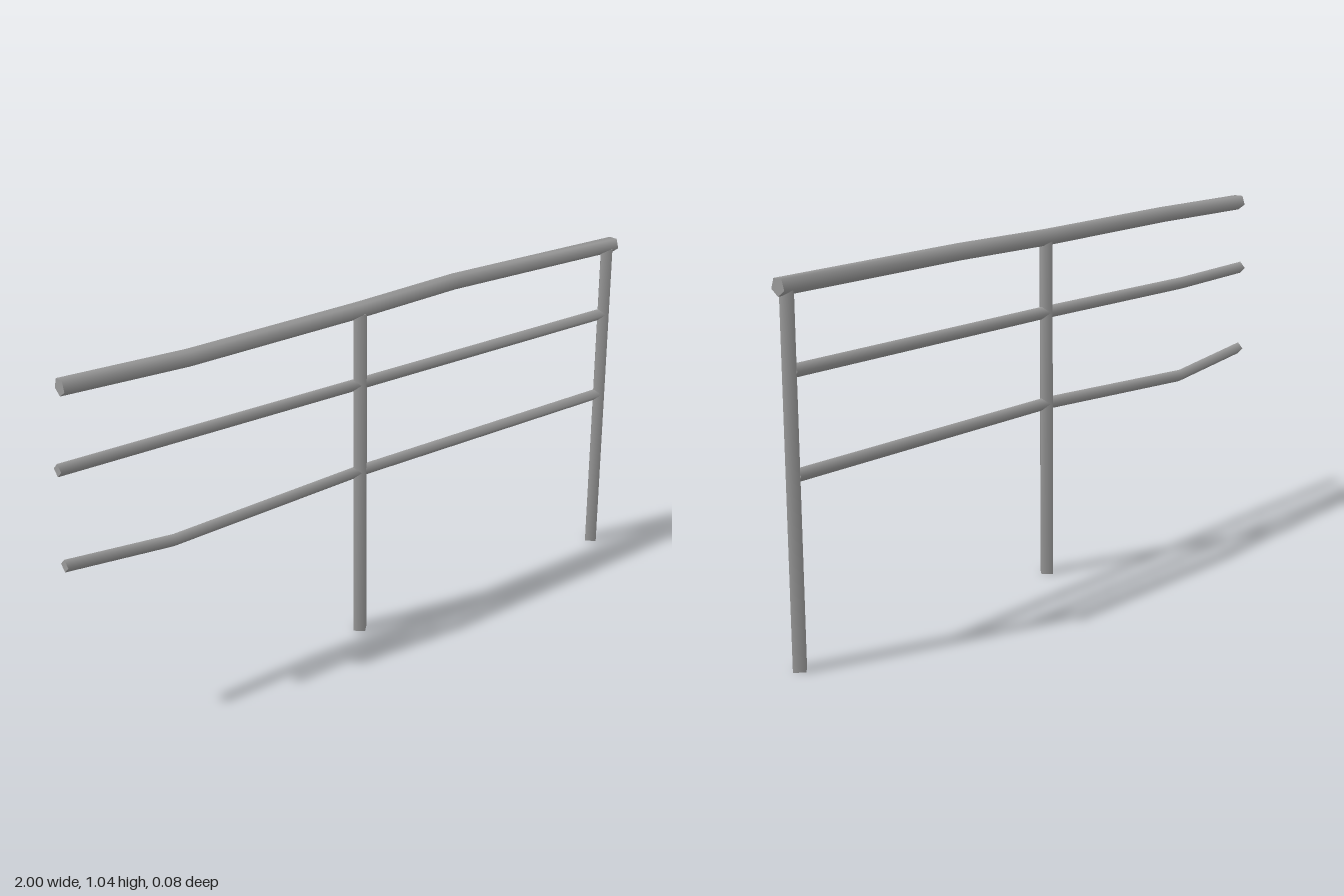
import * as THREE from 'three';

// Sweeps a faceted bar along a list of points; u x v gives the bar's direction
function bar(name, points, radius, sides, u, v, material) {
  const pos = [], index = [];
  const addRing = (p) => {
    const start = pos.length / 3;
    for (let i = 0; i < sides; i++) {
      const a = (i / sides) * Math.PI * 2;
      const q = new THREE.Vector3(...p)
        .addScaledVector(u, radius * Math.cos(a))
        .addScaledVector(v, radius * Math.sin(a));
      pos.push(q.x, q.y, q.z);
    }
    return start;
  };
  // side walls
  const rings = points.map(addRing);
  for (let r = 0; r + 1 < rings.length; r++) {
    for (let i = 0; i < sides; i++) {
      const j = (i + 1) % sides, a = rings[r], b = rings[r + 1];
      index.push(a + i, a + j, b + j, a + i, b + j, b + i);
    }
  }
  // end caps with their own vertices, so the rims stay sharp
  const first = addRing(points[0]), last = addRing(points[points.length - 1]);
  for (let i = 1; i + 1 < sides; i++) {
    index.push(first, first + i + 1, first + i);
    index.push(last, last + i, last + i + 1);
  }
  const geometry = new THREE.BufferGeometry();
  geometry.setAttribute('position', new THREE.Float32BufferAttribute(pos, 3));
  geometry.setIndex(index);
  geometry.computeVertexNormals();
  const mesh = new THREE.Mesh(geometry, material);
  mesh.name = name;
  return mesh;
}

export function createModel() {
  const group = new THREE.Group();
  group.name = 'railing';
  const metal = new THREE.MeshStandardMaterial({ color: 0x999999 });
  const X = new THREE.Vector3(1, 0, 0);
  const down = new THREE.Vector3(0, -1, 0);
  const back = new THREE.Vector3(0, 0, -1);
  const post = (name, pts) => group.add(bar(name, pts, 0.0245, 4, X, back, metal));
  const rail = (name, pts, r, sides) => group.add(bar(name, pts, r, sides, down, back, metal));

  // diamond-section posts, the middle one leaning very slightly
  post('middlePost', [[-0.019, 0, -0.003], [-0.019, 1.005, 0.001]]);
  post('endPost', [[0.968, 0, -0.003], [0.968, 1.005, -0.003]]);

  // five-sided handrail with two gentle kinks
  rail('handrail', [
    [-0.975, 1.012, -0.007], [-0.6, 1.011, 0.016], [-0.02, 1.012, -0.004],
    [0.35, 1.019, -0.017], [1, 1.012, -0.008],
  ], 0.025, 5);

  // thinner diamond-section rails, bent beyond the middle post
  rail('middleRail', [
    [-1, 0.793, -0.003], [-0.66, 0.789, -0.011], [-0.02, 0.793, -0.002], [0.957, 0.793, -0.003],
  ], 0.0185, 4);
  rail('lowerRail', [
    [-1, 0.522, -0.003], [-0.66, 0.49, -0.011], [-0.02, 0.522, -0.002], [0.957, 0.522, -0.003],
  ], 0.0185, 4);

  return group;
}
